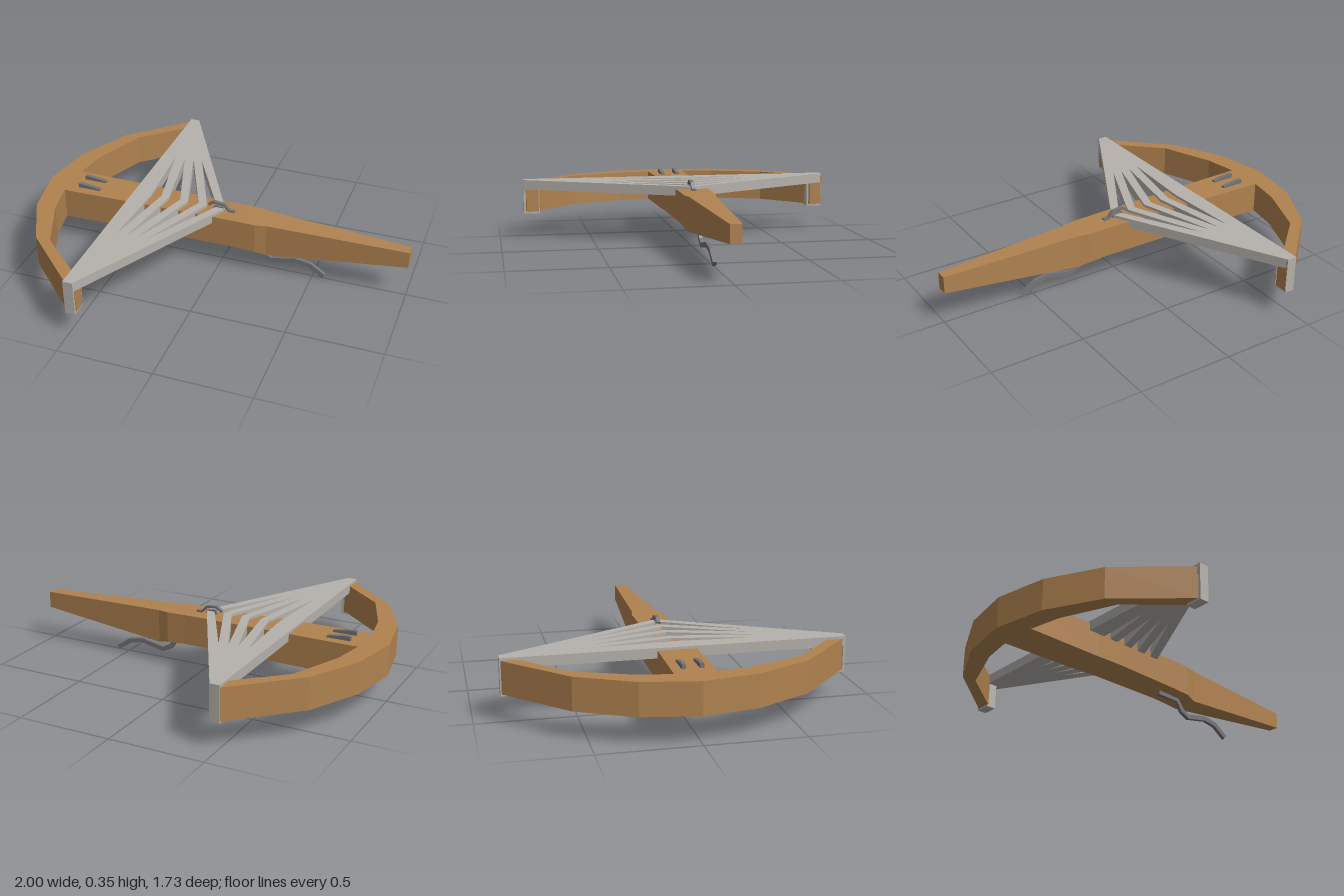
import * as THREE from 'three';

const wood = new THREE.MeshStandardMaterial({ name: 'wood', color: 0xb08250, flatShading: true });
const paleMetal = new THREE.MeshStandardMaterial({ name: 'pale metal', color: 0xb5b1ab, flatShading: true });
const darkMetal = new THREE.MeshStandardMaterial({ name: 'dark metal', color: 0x747478, flatShading: true });

const ZC = -0.006; // the wooden body sits slightly off the centre line

const v2 = ([x, y]) => new THREE.Vector2(x, y);

function add(group, name, geometry, material, x = 0, y = 0, z = 0) {
  const mesh = new THREE.Mesh(geometry, material);
  mesh.name = name;
  mesh.position.set(x, y, z);
  group.add(mesh);
  return mesh;
}

// Flat plan outline (x, z) extruded upwards from y0 to y1
function planPlate(points, holes, y0, y1) {
  const shape = new THREE.Shape(points.map(v2));
  for (const h of holes) shape.holes.push(new THREE.Path(h.map(v2)));
  const g = new THREE.ExtrudeGeometry(shape, { depth: y1 - y0, bevelEnabled: false });
  return g.rotateX(-Math.PI / 2).translate(0, y0, 0);
}

// Side outline (x, y) extruded to a width centred on z = 0
function sidePlate(points, width) {
  const g = new THREE.ExtrudeGeometry(new THREE.Shape(points.map(v2)), { depth: width, bevelEnabled: false });
  return g.translate(0, 0, -width / 2);
}

// Bent bar of constant thickness following a side path
function bentBar(path, thickness, width) {
  const p = path.map(v2);
  const top = [], bottom = [];
  p.forEach((c, i) => {
    const t = p[Math.min(i + 1, p.length - 1)].clone().sub(p[Math.max(i - 1, 0)]).normalize();
    const nx = -t.y * thickness / 2, ny = t.x * thickness / 2;
    top.unshift([c.x + nx, c.y + ny]);
    bottom.push([c.x - nx, c.y - ny]);
  });
  return sidePlate([...bottom, ...top], width);
}

// Rectangular cross-sections [x, bottom, top, half width] joined along x
function loft(sections) {
  const rings = sections.map(([x, b, t, w]) => [[x, b, -w], [x, t, -w], [x, t, w], [x, b, w]]);
  const pos = [];
  const quad = (a, b, c, d) => pos.push(...a, ...b, ...c, ...a, ...c, ...d);
  for (let i = 0; i < rings.length - 1; i++) {
    for (let k = 0; k < 4; k++) {
      const n = (k + 1) % 4;
      quad(rings[i][k], rings[i][n], rings[i + 1][n], rings[i + 1][k]);
    }
  }
  const s = rings[0], e = rings[rings.length - 1];
  quad(s[3], s[2], s[1], s[0]);
  quad(e[0], e[1], e[2], e[3]);
  const g = new THREE.BufferGeometry();
  g.setAttribute('position', new THREE.Float32BufferAttribute(pos, 3));
  g.computeVertexNormals();
  return g;
}

export function createModel() {
  const model = new THREE.Group();
  model.name = 'crossbow';

  // Tapering stock
  add(model, 'stock', loft([
    [-0.88, 0.145, 0.311, 0.104],
    [-0.45, 0.146, 0.311, 0.097],
    [-0.3, 0.15, 0.31, 0.093],
    [0.1, 0.144, 0.307, 0.084],
    [0.2, 0.138, 0.305, 0.084],
    [0.26, 0.123, 0.304, 0.07],
    [1, 0.19, 0.28, 0.029],
  ]), wood, 0, 0, ZC);

  // Curved bow, one outline mirrored about the stock
  const outer = [[-0.95, 0.283], [-0.81, 0.562], [-0.502, 0.858], [-0.453, 0.858]];
  const inner = [[-0.453, 0.79], [-0.495, 0.776], [-0.73, 0.562], [-0.843, 0.28], [-0.875, 0.1]];
  const half = [...outer, ...inner];
  const mirrored = half.map(([x, z]) => [x, -z]).reverse();
  add(model, 'bow', planPlate([[-1, 0], ...half, ...mirrored], [], 0.145, 0.311), wood, 0, 0, ZC);

  // Triangular string plate with chevron slits
  const slits = [
    [-0.43, -0.405, -0.35], [-0.375, -0.305, -0.242],
    [-0.322, -0.197, -0.137], [-0.27, -0.09, -0.035],
  ].map(([tip, back, front]) => [[tip, 0.413], [back, 0], [tip, -0.413], [front, 0]]);
  add(model, 'stringPlate', planPlate(
    [[-0.507, -0.866], [-0.457, -0.866], [0.012, 0], [-0.457, 0.866], [-0.507, 0.866]],
    slits, 0.272, 0.324), paleMetal);

  // Clamps wrapping the bow tips
  for (const side of [1, -1]) {
    const clamp = new THREE.Group();
    clamp.name = side > 0 ? 'leftClamp' : 'rightClamp';
    const x = -0.481, w = 0.052;
    add(clamp, 'clampOuterWall', new THREE.BoxGeometry(w, 0.188, 0.012), paleMetal, x, 0.229, side * 0.86);
    add(clamp, 'clampInnerWall', new THREE.BoxGeometry(w, 0.14, 0.012), paleMetal, x, 0.205, side * 0.784);
    add(clamp, 'clampBase', new THREE.BoxGeometry(w, 0.011, 0.086), paleMetal, x, 0.1405, side * 0.822);
    model.add(clamp);
  }

  // Pair of wedge rails near the front
  for (const side of [1, -1]) {
    add(model, side > 0 ? 'leftRail' : 'rightRail',
      sidePlate([[-0.815, 0.3], [-0.692, 0.3], [-0.692, 0.321], [-0.78, 0.333], [-0.815, 0.334]], 0.02),
      darkMetal, 0, 0, ZC + side * 0.043);
  }

  // String catch on top of the stock
  add(model, 'catchHook', bentBar(
    [[-0.08, 0.329], [-0.05, 0.349], [0.008, 0.343], [0.035, 0.313], [0.065, 0.311]], 0.011, 0.02), darkMetal, 0, 0, -0.003);
  add(model, 'catchBase', sidePlate(
    [[-0.055, 0.31], [0.012, 0.31], [0.005, 0.328], [-0.045, 0.332]], 0.018), darkMetal, 0, 0, -0.003);

  // Long trigger lever below the stock
  add(model, 'trigger', bentBar(
    [[0.055, 0.135], [0.19, 0.132], [0.23, 0.078], [0.275, 0.056], [0.405, 0.082],
      [0.485, 0.068], [0.563, 0.0145]], 0.026, 0.02), darkMetal, 0, 0, -0.003);

  return model;
}
